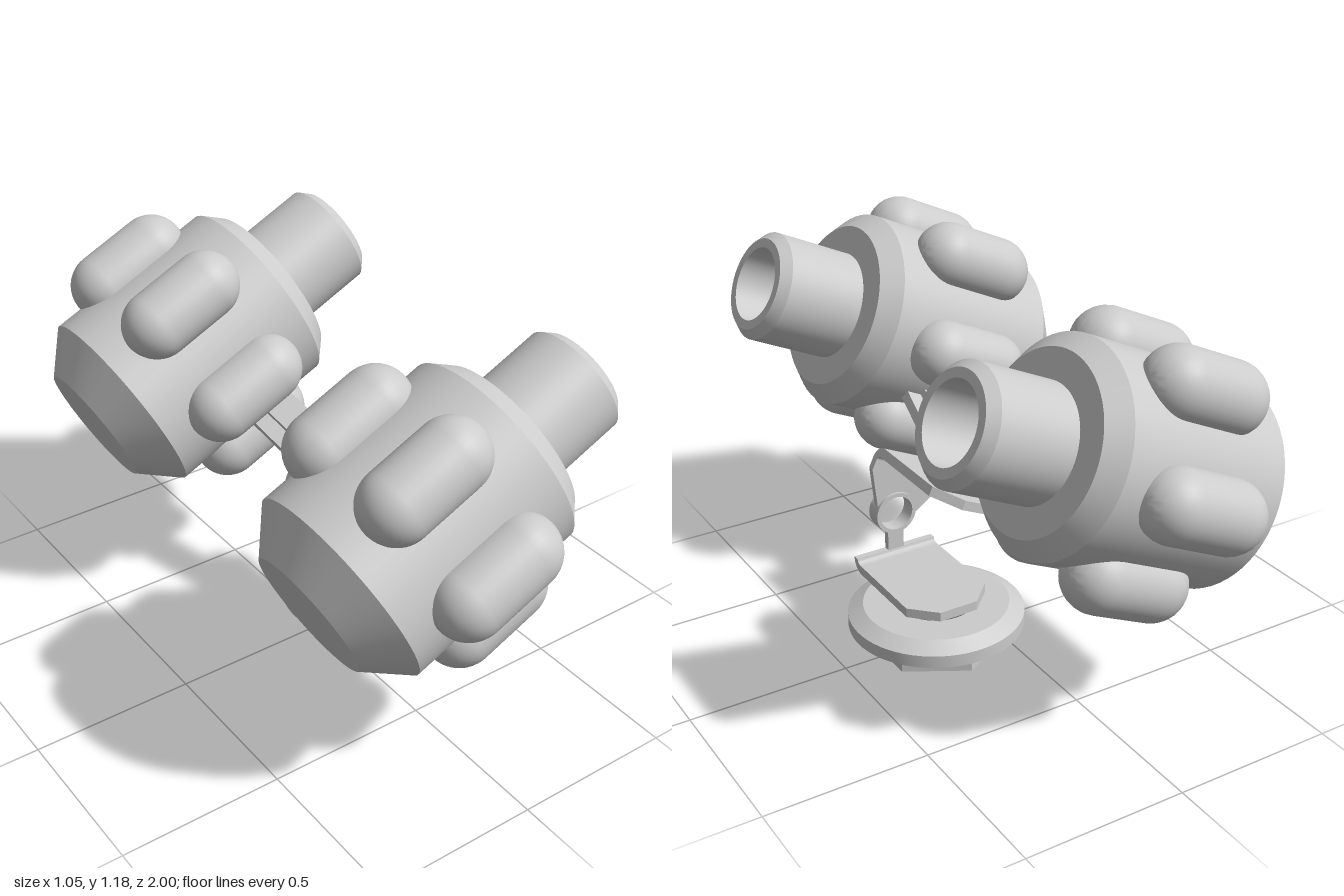
import * as THREE from 'three';
import { toCreasedNormals } from 'three/addons/utils/BufferGeometryUtils.js';

const grey = new THREE.MeshStandardMaterial({ color: 0xcccccc, side: THREE.DoubleSide });
const TILT = THREE.MathUtils.degToRad(25);
const PIVOT = [0.182, 0.33, 0];

function add(parent, name, geometry) {
  const mesh = new THREE.Mesh(toCreasedNormals(geometry, 0.4), grey);
  mesh.name = name;
  parent.add(mesh);
  return mesh;
}

const lathe = (pts, segments = 64) =>
  new THREE.LatheGeometry(pts.map(([r, y]) => new THREE.Vector2(r, y)), segments);

const polygon = (pts) => new THREE.Shape(pts.map(([x, y]) => new THREE.Vector2(x, y)));

const extrude = (shape, depth) =>
  new THREE.ExtrudeGeometry(shape, { depth, bevelEnabled: false, curveSegments: 16 });

// Extrudes a (z, y) profile across x, centred on x = 0
const extrudeAcross = (shape, width) =>
  extrude(shape, width).translate(0, 0, -width / 2).rotateY(-Math.PI / 2);

// Bent bracket half: a plate, a rounded bend and a leg reaching the hinge at the origin
function makeBracket(name, top, legHalfWidth, tapered) {
  const g = new THREE.Group();
  g.name = name;
  const w = 0.138, outer = 0.045, legT = 0.022, plateT = 0.03, zOut = 0.275;
  const zBend = zOut - outer, yBend = top - outer;

  // Plate with clipped far corners
  const c = 0.075, far = -0.136;
  const plate = polygon([[-w, zBend], [-w, far + c], [-w + c, far], [w - c, far], [w, far + c], [w, zBend]]);
  add(g, 'plate', extrude(plate, plateT).rotateX(Math.PI / 2).translate(0, top, 0));

  // Bend
  const bend = new THREE.Shape();
  bend.moveTo(zOut, yBend);
  bend.absarc(zBend, yBend, outer, 0, Math.PI / 2, false);
  bend.lineTo(zBend, top - plateT);
  bend.quadraticCurveTo(zOut - legT, top - plateT, zOut - legT, yBend);
  add(g, 'bend', extrudeAcross(bend, 2 * w));

  // Leg
  const leg = new THREE.Shape();
  leg.moveTo(-legHalfWidth, yBend);
  if (tapered) {
    leg.lineTo(-legHalfWidth, 0.12);
    leg.lineTo(-0.066, 0);
    leg.absarc(0, 0, 0.066, Math.PI, 0, true);
    leg.lineTo(legHalfWidth, 0.12);
  } else {
    leg.lineTo(-legHalfWidth, 0.06);
    leg.lineTo(legHalfWidth, 0.06);
  }
  leg.lineTo(legHalfWidth, yBend);
  add(g, 'leg', extrude(leg, legT).translate(0, 0, zOut - legT));
  return g;
}

// Lamp housing with its axis along x
function makeLamp(name) {
  const g = new THREE.Group();
  g.name = name;
  const body = lathe([[0, -0.142], [0.195, -0.142], [0.305, -0.032], [0.305, 0.525], [0.253, 0.58], [0.15, 0.58]]);
  add(g, 'body', body.rotateZ(-Math.PI / 2));
  const barrel = lathe([[0.167, 0.56], [0.167, 0.833], [0.141, 0.861], [0.113, 0.861], [0.113, 0.44], [0, 0.44]]);
  add(g, 'barrel', barrel.rotateZ(-Math.PI / 2));

  // Six pods around the body
  for (let i = 0; i < 6; i++) {
    const a = (i * Math.PI) / 3;
    const pod = new THREE.CapsuleGeometry(0.105, 0.19, 12, 32).rotateZ(-Math.PI / 2);
    add(g, 'pod', pod).position.set(0.25, 0.315 * Math.sin(a), 0.315 * Math.cos(a));
  }
  return g;
}

// V-shaped band in the (z, y) plane
const vee = (low, high) => {
  const z = 0.36, rise = 0.39 * z;
  return polygon([[0, low], [z, low + rise], [z, high + rise], [0, high], [-z, high + rise], [-z, low + rise]]);
};

export function createModel() {
  const model = new THREE.Group();
  model.name = 'twinLamp';

  // Base: hex nut, chamfered flange and small washer
  const base = new THREE.Group();
  base.name = 'base';
  base.position.x = PIVOT[0];
  model.add(base);
  add(base, 'hexNut', new THREE.CylinderGeometry(0.21, 0.21, 0.075, 6).translate(0, 0.0375, 0));
  add(base, 'flange', lathe([[0, 0.072], [0.272, 0.072], [0.272, 0.112], [0.225, 0.14], [0, 0.14]]));
  add(base, 'washer', new THREE.CylinderGeometry(0.135, 0.12, 0.018, 48).translate(0, 0.148, 0));

  // Fixed lower bracket, turned upside down
  const lower = makeBracket('lowerBracket', 0.175, 0.0275, false);
  lower.position.set(...PIVOT);
  lower.rotation.z = Math.PI;
  model.add(lower);

  // Hinge ring
  const ring = new THREE.Shape().absarc(0, 0, 0.069, 0, Math.PI * 2, false);
  ring.holes.push(new THREE.Path().absarc(0, 0, 0.056, 0, Math.PI * 2, true));
  add(model, 'hingeRing', extrude(ring, 0.054).translate(0, 0, 0.243)).position.set(...PIVOT);

  // Tilting head turning about the hinge
  const head = new THREE.Group();
  head.name = 'tiltingHead';
  head.position.set(...PIVOT);
  head.rotation.z = TILT;
  model.add(head);
  head.add(makeBracket('upperBracket', 0.2, 0.138, true));

  // V-shaped arm: wide flange with a narrow rib
  add(head, 'armFlange', extrudeAcross(vee(0.215, 0.25), 0.15));
  add(head, 'armRib', extrudeAcross(vee(0.19, 0.275), 0.05));

  // Lamps on both sides
  for (const side of [-1, 1]) {
    const lamp = makeLamp(side > 0 ? 'frontLamp' : 'rearLamp');
    lamp.position.set(-0.305, 0.526, side * 0.58);
    head.add(lamp);
  }
  return model;
}
